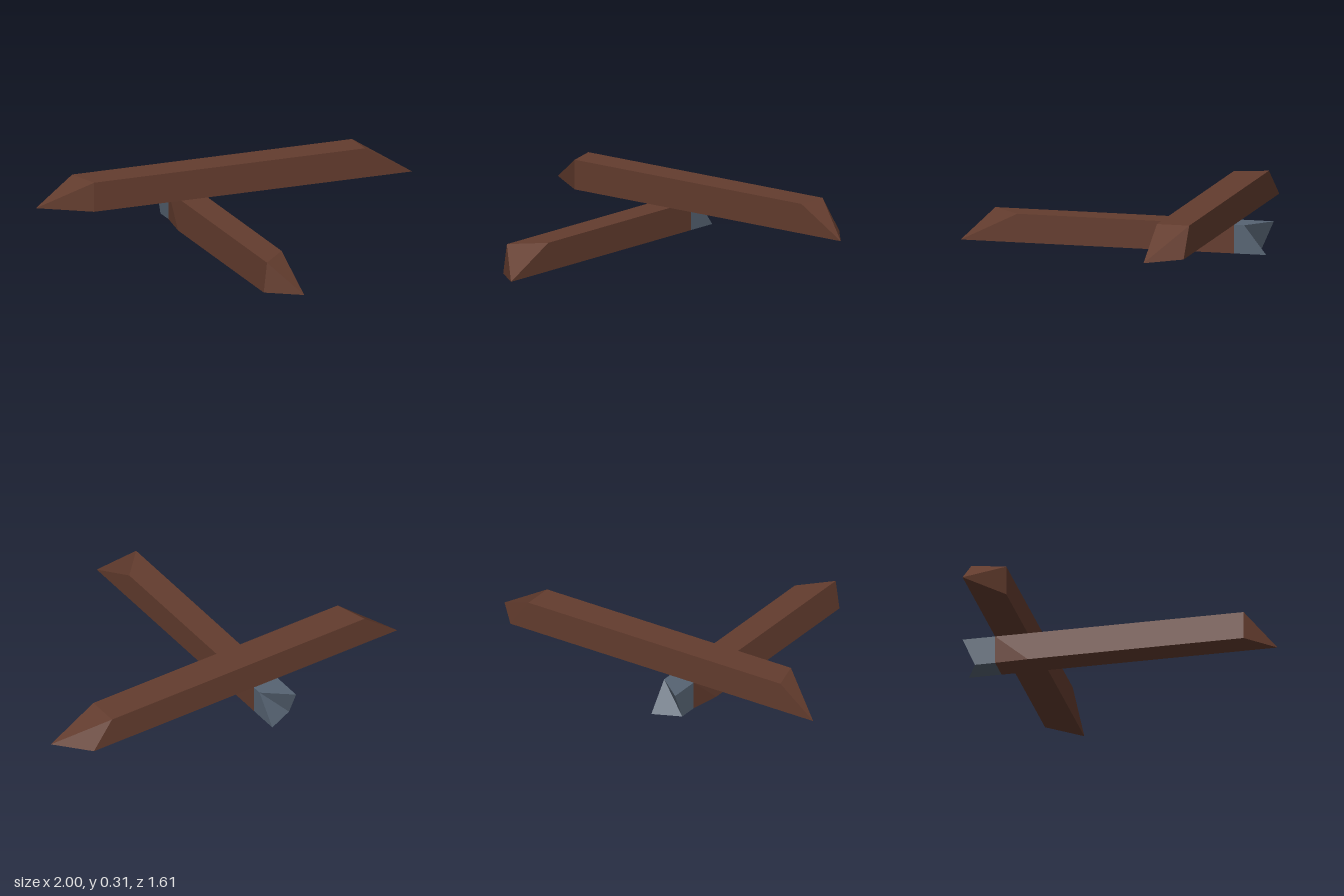
import * as THREE from 'three';

// Joins four-cornered rings (clockwise seen from the first end) into a solid.
// Each cap is split along corners 0-2 or 1-3, which shapes its skewed cut.
function loft(rings, firstSplit, lastSplit) {
  const pos = [];
  const tri = (a, b, c) => pos.push(...a, ...b, ...c);
  const quad = (q, split) => {
    const [a, b, c, d] = split === 0 ? q : [q[1], q[2], q[3], q[0]];
    tri(a, b, c);
    tri(a, c, d);
  };
  for (let r = 0; r < rings.length - 1; r++) {
    const A = rings[r], B = rings[r + 1];
    for (let i = 0; i < 4; i++) {
      const j = (i + 1) % 4;
      quad([A[i], A[j], B[j], B[i]], 0);
    }
  }
  const f = rings[0];
  quad([f[0], f[3], f[2], f[1]], firstSplit);
  quad(rings[rings.length - 1], lastSplit);
  const g = new THREE.BufferGeometry();
  g.setAttribute('position', new THREE.Float32BufferAttribute(pos, 3));
  g.computeVertexNormals();
  return g;
}

export function createModel() {
  const wood = new THREE.MeshStandardMaterial({ color: 0x633c2e, flatShading: true });
  wood.name = 'dark brown wood';
  const steel = new THREE.MeshStandardMaterial({ color: 0x566372, flatShading: true });
  steel.name = 'blue grey steel';

  const group = new THREE.Group();
  group.name = 'brokenCrossedBeams';
  const add = (name, geometry, material) => {
    const mesh = new THREE.Mesh(geometry, material);
    mesh.name = name;
    group.add(mesh);
  };

  // Upper cross beam, running along x with slanted ends
  // corners: top front, top back, bottom back, bottom front
  const beamRing = (tf, tb, bb, bf) => [
    [tf, 0.31, -0.465], [tb, 0.31, -0.635], [bb, 0.155, -0.635], [bf, 0.155, -0.465],
  ];
  add('crossBeam', loft([
    beamRing(0.74, 0.74, 0.85, 1),
    beamRing(-0.75, -0.8, -1, -0.75),
  ], 1, 0), wood);

  // Lower beam, running along z
  // corners: top -x, top +x, bottom +x, bottom -x (this last one flares out)
  const postRing = (z0, z1, z2, z3, x3 = -0.27, y3 = 0.007) => [
    [-0.27, 0.155, z0], [-0.125, 0.155, z1], [-0.125, 0.007, z2], [x3, y3, z3],
  ];
  const joint = postRing(-0.635, -0.635, -0.635, -0.635);
  add('lowerBeam', loft([
    postRing(0.66, 0.505, 0.803, 0.665, -0.29, 0),
    postRing(-0.46, -0.46, -0.46, -0.46, -0.29, 0),
    joint,
  ], 0, 0), wood);

  // Steel end piece with a diagonal notch
  add('steelTip', loft([joint, postRing(-0.805, -0.688, -0.805, -0.74)], 0, 1), steel);

  return group;
}
